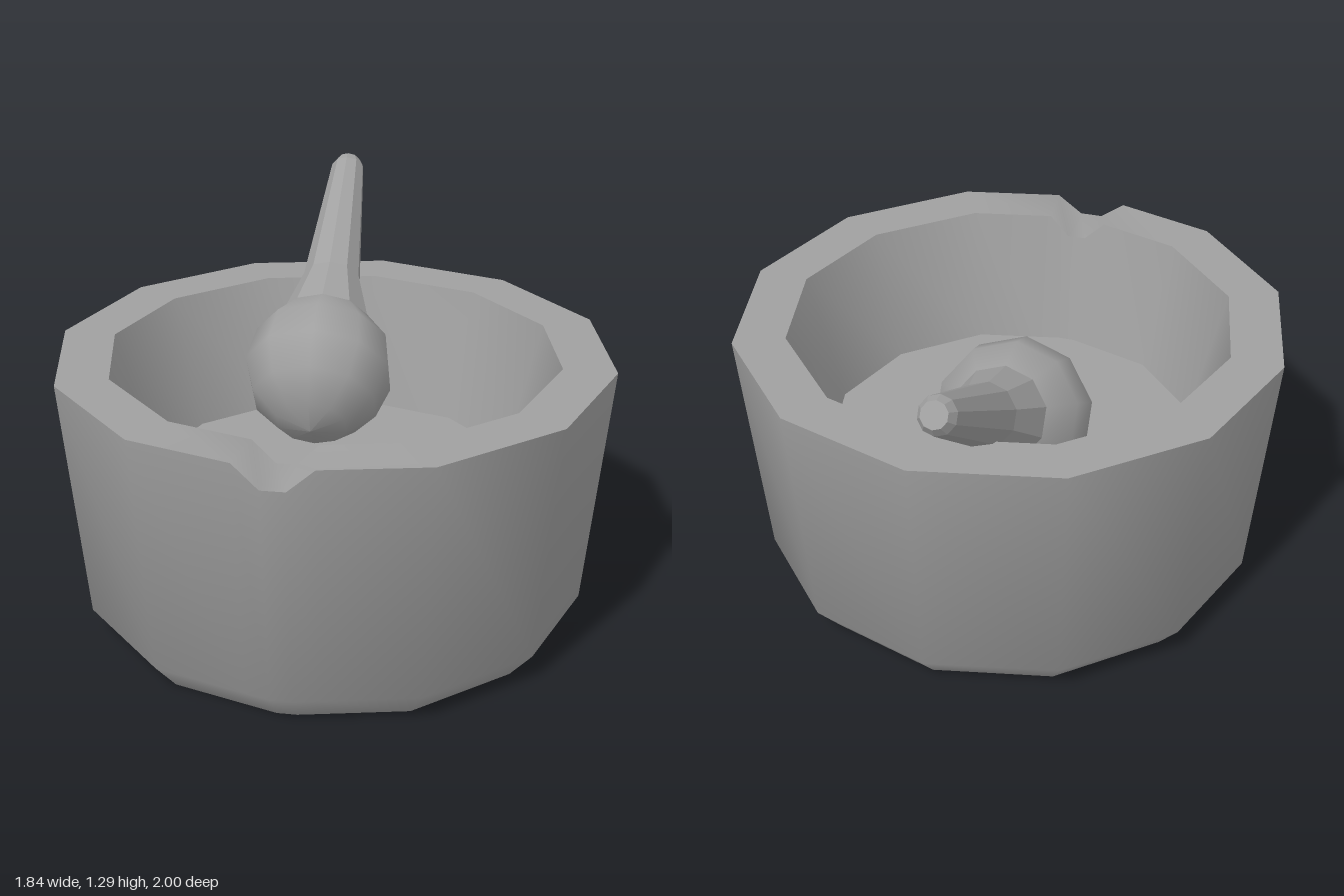
import * as THREE from 'three';
import { toCreasedNormals } from 'three/addons/utils/BufferGeometryUtils.js';

const { degToRad } = THREE.MathUtils;
const SIDES = 12;
const STONE = 0xa0a0a0;

// Unit outline of the bowl: a 12-gon whose corner 4 is cut by the pouring groove.
function bowlOutline() {
  const corner = (i) => {
    const a = degToRad(-5.2 + i * 360 / SIDES);
    return new THREE.Vector2(Math.cos(a), Math.sin(a));
  };
  const columns = [];
  for (let i = 0; i < SIDES; i++) {
    const p = corner(i);
    if (i !== 4) {
      columns.push({ p, groove: false });
      continue;
    }
    const before = corner(i - 1), after = corner(i + 1);
    columns.push({ p: p.clone().lerp(before, 0.28), groove: false });
    columns.push({ p: p.clone().lerp(before, 0.1), groove: true });
    columns.push({ p: p.clone().lerp(after, 0.07), groove: true });
    columns.push({ p: p.clone().lerp(after, 0.26), groove: false });
  }
  return columns;
}

// Bowl skin: underside, bevel, wall, rim, inner wall and floor in one loft.
function bowlGeometry() {
  const columns = bowlOutline();
  // radius, height, and the radius and height used inside the groove
  const rings = [
    [0, 0], [0.76, 0], [0.845, 0.1],
    [0.925, 0.92, 0.919, 0.85], [0.75, 0.92, 0.731, 0.85],
    [0.63, 0.47], [0, 0.47],
  ];
  const n = columns.length;
  const positions = [], index = [];
  for (const [r, y, gr = r, gy = y] of rings) {
    for (const { p, groove } of columns) {
      const radius = groove ? gr : r;
      positions.push(p.x * radius, groove ? gy : y, p.y * radius);
    }
  }
  const bands = rings.length - 1;
  for (let k = 0; k < bands; k++) {
    for (let c = 0; c < n; c++) {
      const a = k * n + c, d = k * n + (c + 1) % n;
      const b = a + n, e = d + n;
      // the first and last bands are fans around a centre point
      if (k < bands - 1) index.push(a, b, e);
      if (k > 0) index.push(a, e, d);
    }
  }
  const geometry = new THREE.BufferGeometry();
  geometry.setAttribute('position', new THREE.Float32BufferAttribute(positions, 3));
  geometry.setIndex(index);
  return toCreasedNormals(geometry, 0.81);
}

function createPestle() {
  const pestle = new THREE.Group();
  pestle.name = 'pestle';

  // lean the pestle over the back rim, with one row of corners facing straight up
  const lean = new THREE.Vector3(0.28, 0.51, -0.73).normalize();
  const phase = Math.atan2(-lean.x, -lean.z);
  const turned = (profile) => new THREE.LatheGeometry(profile, 10, phase);

  // rounded grinding head, open where the handle starts
  const R = 0.26;
  const headProfile = [];
  for (let i = 0; i <= 5; i++) {
    const a = degToRad(180 - i * 28.6);
    headProfile.push(new THREE.Vector2(R * Math.sin(a), R * Math.cos(a)));
  }
  headProfile[0].x = 0;
  const head = new THREE.Mesh(
    turned(headProfile),
    new THREE.MeshStandardMaterial({ color: STONE })
  );
  head.name = 'pestleHead';

  // faceted tapering handle with a bevelled tip
  const handleProfile = [
    headProfile[5], new THREE.Vector2(0.103, 0.39), new THREE.Vector2(0.06, 0.915),
    new THREE.Vector2(0.042, 0.95), new THREE.Vector2(0, 0.95),
  ];
  const handle = new THREE.Mesh(
    turned(handleProfile),
    new THREE.MeshStandardMaterial({ color: STONE, flatShading: true })
  );
  handle.name = 'pestleHandle';

  pestle.add(head, handle);
  pestle.quaternion.setFromUnitVectors(new THREE.Vector3(0, 1, 0), lean);
  pestle.position.set(0.02, 0.733, -0.23);
  return pestle;
}

export function createModel() {
  const model = new THREE.Group();
  model.name = 'mortarAndPestle';

  const bowl = new THREE.Mesh(bowlGeometry(), new THREE.MeshStandardMaterial({ color: STONE }));
  bowl.name = 'mortarBowl';
  bowl.position.z = 0.075;

  model.add(bowl, createPestle());
  return model;
}
